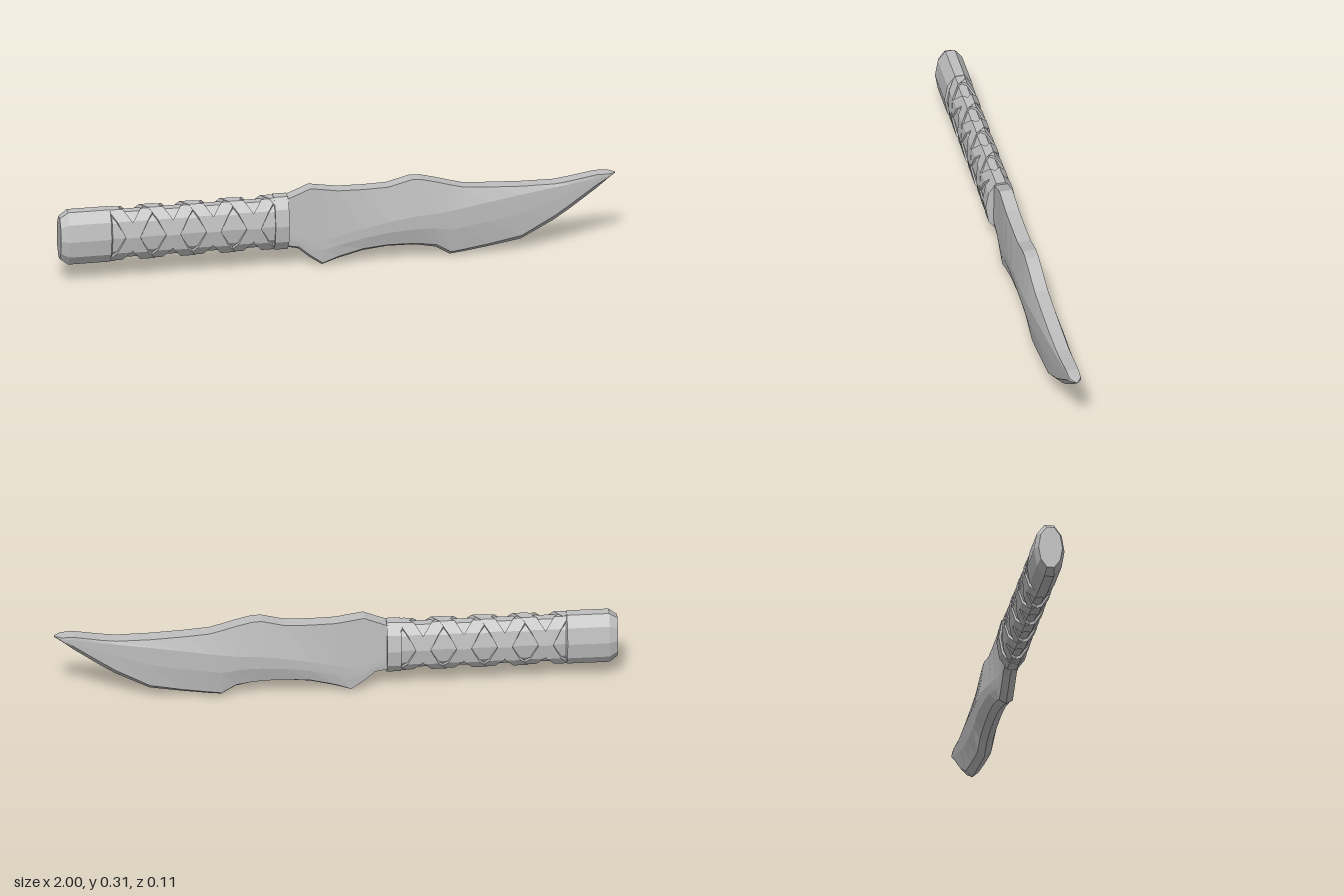
import * as THREE from 'three';

const steel = new THREE.MeshStandardMaterial({ color: 0xc0c0c0, flatShading: true });
steel.name = 'lightGrey';

// Skin closed rings of [x, y, z] points and cap both ends
function loft(name, rings) {
  const n = rings[0].length, pos = rings.flat(2), idx = [];
  for (let i = 0; i < rings.length - 1; i++) {
    for (let j = 0; j < n; j++) {
      const a = i * n + j, b = i * n + (j + 1) % n;
      idx.push(a, b, b + n, a, b + n, a + n);
    }
  }
  const e = (rings.length - 1) * n;
  for (let k = 1; k < n - 1; k++) idx.push(0, k + 1, k, e, e + k, e + k + 1);
  const geo = new THREE.BufferGeometry();
  geo.setAttribute('position', new THREE.Float32BufferAttribute(pos, 3));
  geo.setIndex(idx);
  const flat = geo.toNonIndexed();
  flat.computeVertexNormals();
  const mesh = new THREE.Mesh(flat, steel);
  mesh.name = name;
  return mesh;
}

// Point on the flattened ten-sided grip
const vertexAngle = k => (18 + 36 * k) * Math.PI / 180;
const gripPoint = (x, a, s) => [x, 0.18 + 0.105 * s * Math.cos(a), 0.055 * s * Math.sin(a)];
const gripRing = (x, s) => Array.from({ length: 10 }, (_, k) => gripPoint(x, vertexAngle(k), s));

// Strap spiralling round the grip; dir is its handedness, x0 where it passes the top
function strap(x0, dir, size) {
  const pitch = 0.29, half = 0.026, rings = [];
  const clamp = x => THREE.MathUtils.clamp(x, -0.83, -0.2);
  for (let k = -40; k < 40; k++) {
    const a = vertexAngle(k), x = x0 + dir * pitch * a / (2 * Math.PI);
    if (x < -0.85 || x > -0.18) continue;
    const lo = clamp(x - half), hi = clamp(x + half);
    rings.push([gripPoint(hi, a, size), gripPoint(lo, a, size), gripPoint(lo, a, 0.82), gripPoint(hi, a, 0.82)]);
  }
  return loft('gripStrap', rings);
}

export function createModel() {
  const model = new THREE.Group();
  model.name = 'knife';

  // Handle
  const handle = new THREE.Group();
  handle.name = 'handle';
  handle.add(loft('pommel', [gripRing(-1, 0.78), gripRing(-0.97, 1), gripRing(-0.82, 1), gripRing(-0.815, 0.87)]));
  handle.add(loft('gripCore', [gripRing(-0.83, 0.87), gripRing(-0.19, 0.87)]));
  handle.add(loft('collar', [gripRing(-0.23, 1.01), gripRing(-0.18, 1.01)]));
  for (const x0 of [-0.67, -0.525]) {
    handle.add(strap(x0, 1, 0.985), strap(x0, -1, 0.965));
  }
  model.add(handle);

  // Blade stations: x, spine y, ridge y, bevel y, cutting edge y, ridge half width, edge half width
  const stations = [
    [-0.19, 0.27, 0.14, 0.095, 0.083, 0.027, 0.024],
    [-0.14, 0.29, 0.12, 0.085, 0.070, 0.027, 0.024],
    [-0.10, 0.307, 0.10, 0.05, 0.035, 0.027, 0.024],
    [-0.055, 0.300, 0.105, 0.017, 0.003, 0.029, 0.024],
    [0.00, 0.291, 0.12, 0.038, 0.022, 0.032, 0.024],
    [0.09, 0.289, 0.143, 0.061, 0.045, 0.037, 0.024],
    [0.18, 0.291, 0.163, 0.069, 0.055, 0.041, 0.024],
    [0.265, 0.313, 0.177, 0.067, 0.053, 0.044, 0.024],
    [0.30, 0.311, 0.18, 0.064, 0.049, 0.044, 0.024],
    [0.355, 0.297, 0.183, 0.055, 0.038, 0.044, 0.024],
    [0.405, 0.282, 0.19, 0.024, 0.007, 0.043, 0.024],
    [0.45, 0.270, 0.197, 0.030, 0.012, 0.042, 0.024],
    [0.54, 0.263, 0.211, 0.044, 0.025, 0.039, 0.024],
    [0.66, 0.257, 0.229, 0.067, 0.045, 0.034, 0.024],
    [0.78, 0.256, 0.245, 0.134, 0.109, 0.028, 0.023],
    [0.835, 0.263, 0.252, 0.172, 0.146, 0.026, 0.023],
    [0.93, 0.279, 0.268, 0.240, 0.216, 0.023, 0.022],
    [0.975, 0.278, 0.272, 0.265, 0.253, 0.021, 0.020],
    [1.0, 0.276, 0.275, 0.274, 0.272, 0.004, 0.003],
  ];
  model.add(loft('blade', stations.map(([x, top, ridge, bevel, edge, zr, ze]) => {
    // Lower shoulder, nearly as wide as the ridge
    const low = THREE.MathUtils.lerp(ridge, bevel, 0.45), zl = THREE.MathUtils.lerp(zr, ze, 0.15);
    return [
      [x, top, ze], [x, ridge, zr], [x, low, zl], [x, bevel, ze], [x, edge, 0],
      [x, bevel, -ze], [x, low, -zl], [x, ridge, -zr], [x, top, -ze],
    ];
  })));

  return model;
}
